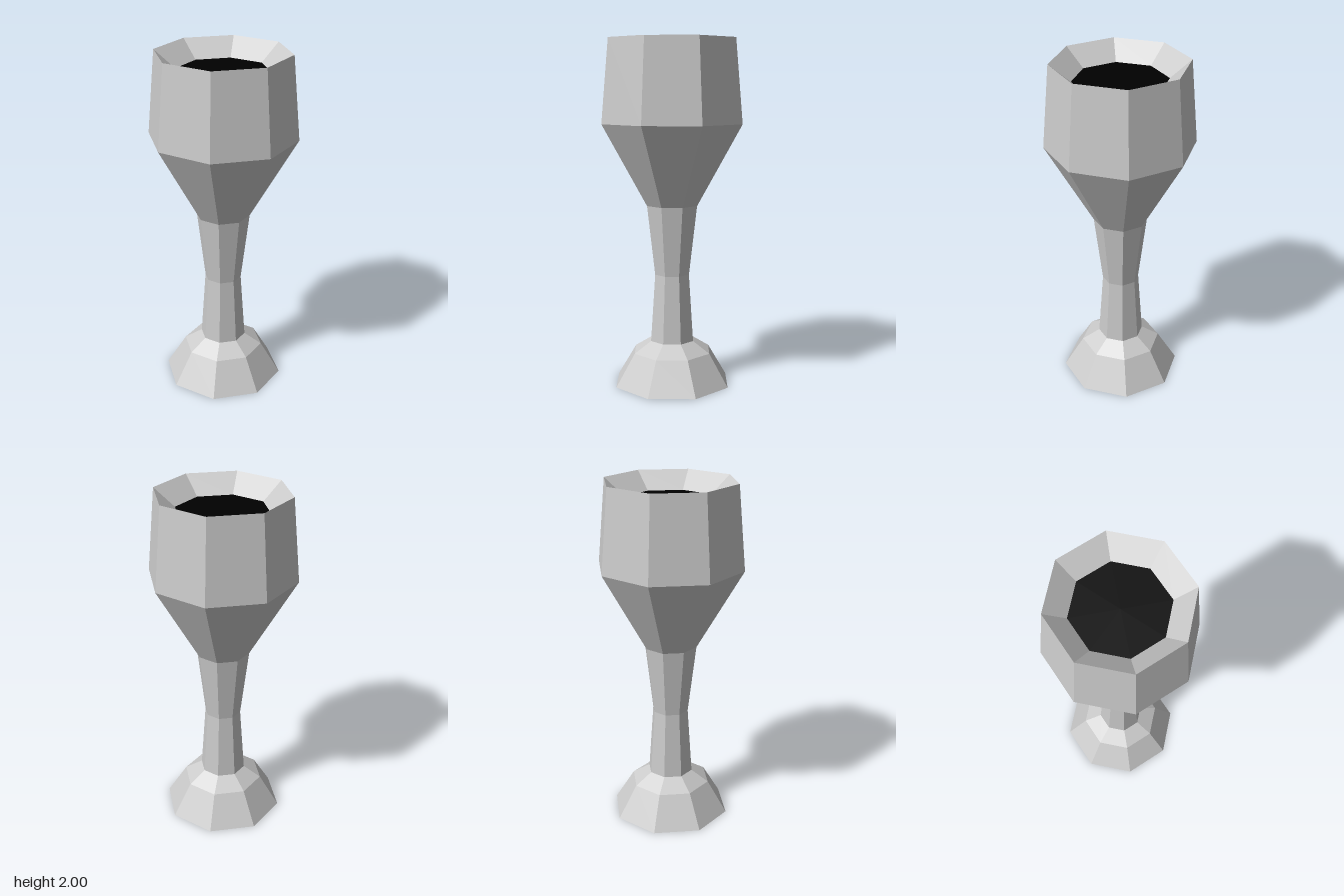
import * as THREE from 'three';

const SIDES = 8;
const RIM = [0.38, 2];
const WELL = [0.262, 1.9];

// Faceted solid of revolution from [radius, height] pairs, listed bottom to top
function turned(name, profile, material) {
  const points = profile.map(([r, y]) => new THREE.Vector2(r, y));
  const mesh = new THREE.Mesh(new THREE.LatheGeometry(points, SIDES), material);
  mesh.name = name;
  return mesh;
}

export function createModel() {
  const goblet = new THREE.Group();
  goblet.name = 'goblet';
  const grey = new THREE.MeshStandardMaterial({ color: 0xcccccc, flatShading: true });
  const black = new THREE.MeshStandardMaterial({ color: 0x000000, flatShading: true });

  // Closed foot with a sloping shoulder
  goblet.add(turned('foot', [[0, 0], [0.35, 0], [0.235, 0.19], [0.133, 0.255]], grey));

  // Stem, narrowest in the middle
  goblet.add(turned('stem', [[0.133, 0.255], [0.106, 0.65], [0.155, 1.055]], grey));

  // Cup, with the inside of the rim sloping down to the drink
  goblet.add(turned('cup', [[0.155, 1.055], [0.423, 1.525], RIM, WELL], grey));

  // Dark surface of the drink
  const drink = new THREE.Mesh(new THREE.CircleGeometry(WELL[0], SIDES), black);
  drink.name = 'drink';
  drink.rotation.x = -Math.PI / 2;
  drink.position.y = WELL[1];
  goblet.add(drink);

  return goblet;
}
